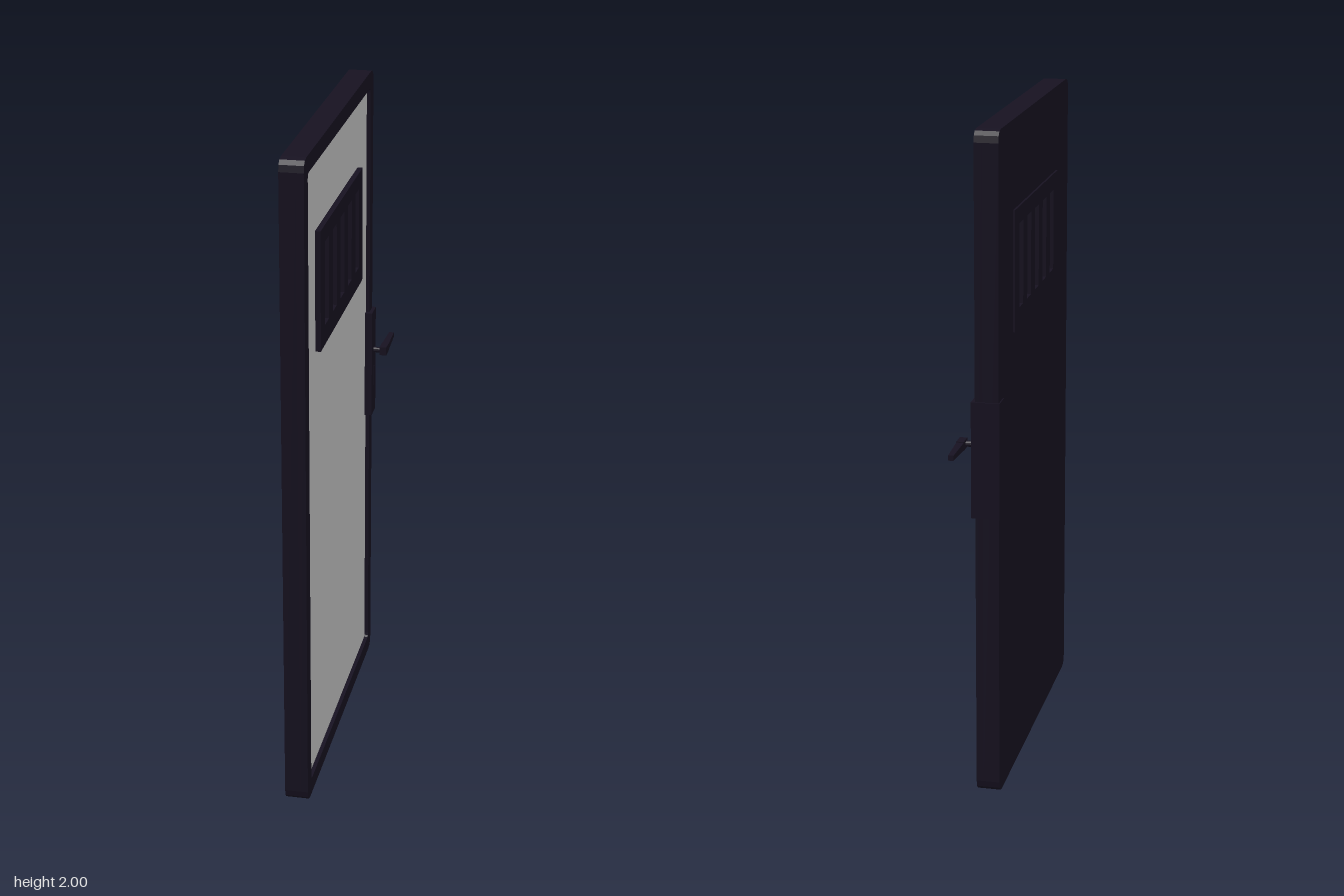
import * as THREE from 'three';

const dark = new THREE.MeshStandardMaterial({ color: 0x171221, flatShading: true });
const grey = new THREE.MeshStandardMaterial({ color: 0xcccccc, flatShading: true });

// Rectangle from z0 (front) to z1 (back) with clipped corners; drawn with u = -z
function outline(z0, z1, y0, y1, r = 0, Type = THREE.Shape) {
  const s = new Type(), a = -z0, b = -z1;
  if (!r) {
    s.moveTo(a, y0); s.lineTo(b, y0); s.lineTo(b, y1); s.lineTo(a, y1);
  } else {
    s.moveTo(a + r, y0);
    s.lineTo(b - r, y0); s.quadraticCurveTo(b, y0, b, y0 + r);
    s.lineTo(b, y1 - r); s.quadraticCurveTo(b, y1, b - r, y1);
    s.lineTo(a + r, y1); s.quadraticCurveTo(a, y1, a, y1 - r);
    s.lineTo(a, y0 + r); s.quadraticCurveTo(a, y0, a + r, y0);
  }
  s.closePath();
  return s;
}
const hole = (z0, z1, y0, y1, r) => outline(z0, z1, y0, y1, r, THREE.Path);

// Plate standing in the z-y plane between x0 and x1
function plate(name, shape, holes, x0, x1, material) {
  shape.holes.push(...holes);
  const g = new THREE.ExtrudeGeometry(shape, { depth: x1 - x0, bevelEnabled: false, curveSegments: 3 });
  g.rotateY(Math.PI / 2).translate(x0, 0, 0);
  const m = new THREE.Mesh(g, material);
  m.name = name;
  return m;
}

function box(name, x0, x1, y0, y1, z0, z1) {
  const m = new THREE.Mesh(new THREE.BoxGeometry(x1 - x0, y1 - y0, z1 - z0), dark);
  m.position.set((x0 + x1) / 2, (y0 + y1) / 2, (z0 + z1) / 2);
  m.name = name;
  return m;
}

function rod(name, radius, x0, x1, y, z) {
  const g = new THREE.CylinderGeometry(radius, radius, x1 - x0, 12).rotateZ(Math.PI / 2);
  const m = new THREE.Mesh(g, dark);
  m.position.set((x0 + x1) / 2, y, z);
  m.name = name;
  return m;
}

export function createModel() {
  const door = new THREE.Group();
  door.name = 'door';
  const windowHole = () => hole(0.34, -0.225, 1.41, 1.715);

  // Slab, raised rim and inset panel
  door.add(plate('doorSlab', outline(0.565, -0.45, 0, 2, 0.035), [windowHole()], -0.06, -0.012, dark));
  door.add(plate('doorRim', outline(0.565, -0.45, 0, 2, 0.035),
    [hole(0.515, -0.405, 0.05, 1.95, 0.015)], -0.012, 0.01, dark));
  door.add(plate('doorPanel', outline(0.518, -0.408, 0.047, 1.953), [windowHole()], -0.011, -0.002, grey));

  // Barred window through the door
  const slots = [];
  for (let i = 0; i < 5; i++) {
    const z = 0.31 - i * 0.1133;
    slots.push(hole(z, z - 0.056, 1.44, 1.69));
  }
  door.add(plate('windowGrille', outline(0.37, -0.257, 1.38, 1.74), slots, -0.066, 0.014, dark));

  // Lock case wrapping the edge, with keyhole boss
  door.add(box('lockCase', -0.063, 0.021, 0.87, 1.22, -0.455, -0.39));
  door.add(box('keyhole', 0.02, 0.023, 0.965, 1.03, -0.428, -0.418));

  // Lever handle
  const handle = new THREE.Group();
  handle.name = 'handle';
  handle.add(rod('handleSpindle', 0.009, 0.02, 0.046, 1.086, -0.424));
  handle.add(box('handleHub', 0.042, 0.064, 1.073, 1.1, -0.455, -0.41));
  const lever = new THREE.Mesh(new THREE.CylinderGeometry(0.011, 0.016, 0.125, 4, 1, false, Math.PI / 4), dark);
  lever.name = 'handleLever';
  lever.rotation.x = -Math.PI / 2;
  lever.position.set(0.053, 1.086, -0.5045);
  handle.add(lever);
  door.add(handle);

  return door;
}
